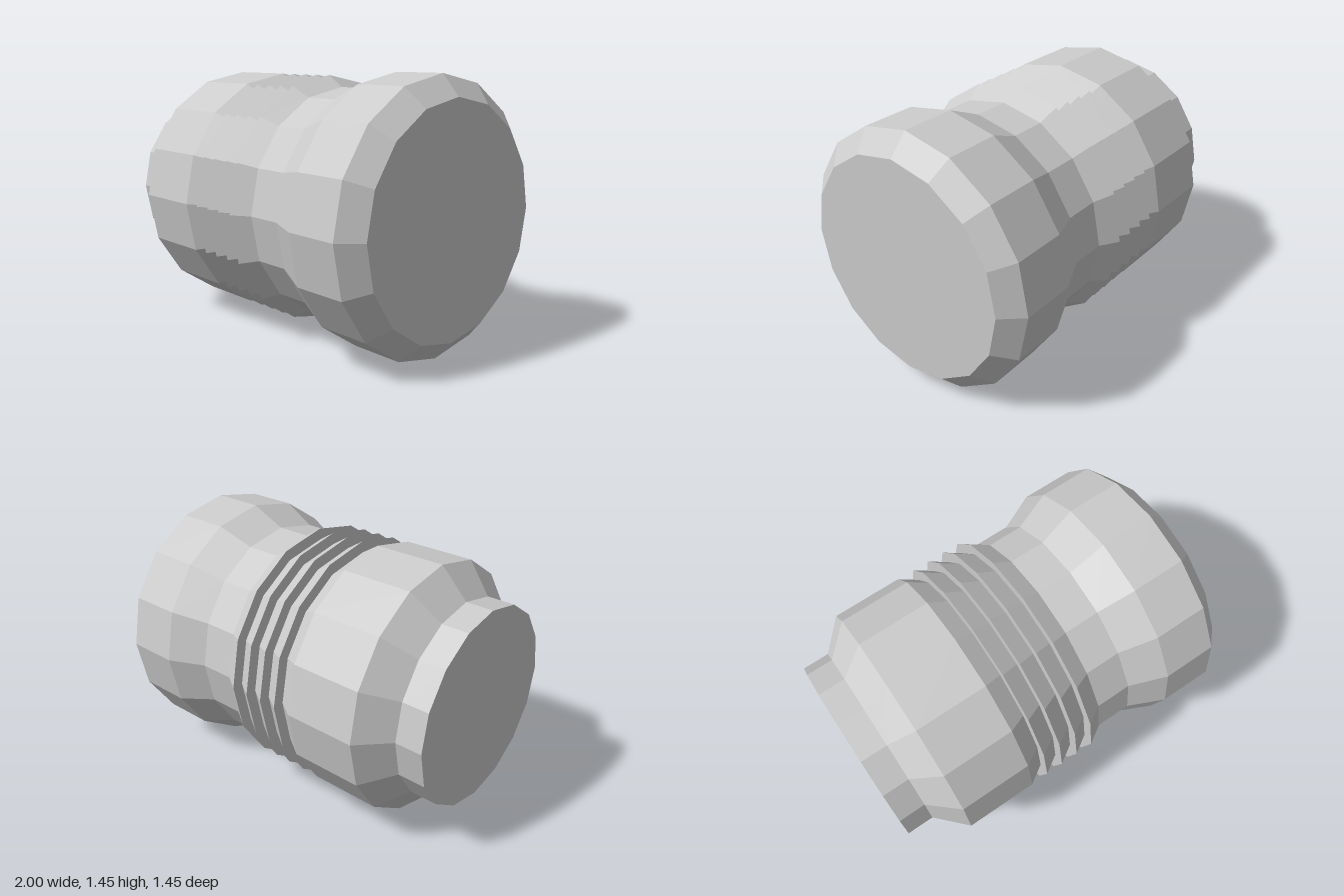
import * as THREE from 'three';

const SIDES = 16;
const MAX_RADIUS = 0.725;

export function createModel() {
  const group = new THREE.Group();
  group.name = 'ribbedBarrel';
  const material = new THREE.MeshStandardMaterial({ color: 0xcccccc, flatShading: true });

  // Profile as [position along the axis, radius], from the narrow end to the wide end
  const profile = [
    [-1, 0], [-1, 0.543], [-0.85, 0.543], // narrow collar
    [-0.7, 0.698], [-0.3, 0.698], // shoulder and drum
    [-0.2, 0.635],
  ];

  // Sawtooth ribs: each steps out sharply, then tapers in
  for (let i = 0; i < 4; i++) {
    const x = -0.2 + i * 0.1;
    if (i < 3 || x < 0.15) profile.push([x, 0.698], [x + 0.1, 0.635]);
  }

  // Waist, flared head and bevelled end
  profile.push([0.4, 0.635], [0.6, MAX_RADIUS], [0.9, MAX_RADIUS], [1, 0.615], [1, 0]);

  const points = profile.map(([along, radius]) => new THREE.Vector2(radius, along));
  const geometry = new THREE.LatheGeometry(points, SIDES);
  geometry.rotateZ(-Math.PI / 2); // lay the axis along x
  geometry.translate(0, MAX_RADIUS, 0);

  const body = new THREE.Mesh(geometry, material);
  body.name = 'barrelBody';
  group.add(body);
  return group;
}
